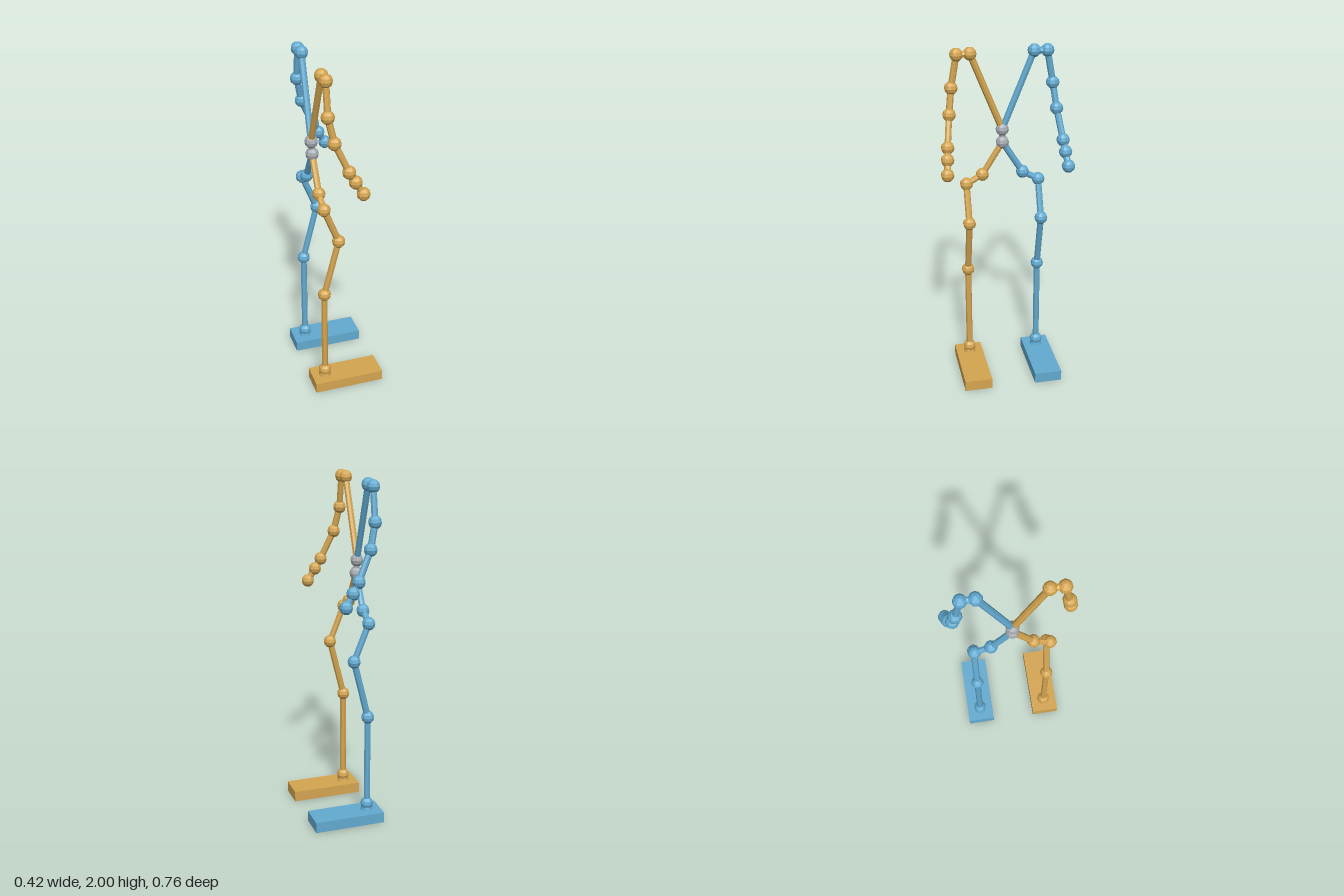
import * as THREE from 'three';

const BALL = 0.038;
const ROD = 0.019;
const UP = new THREE.Vector3(0, 1, 0);

function material(name, color) {
  const m = new THREE.MeshStandardMaterial({ color });
  m.name = name;
  m.flatShading = true;
  return m;
}

function ball(name, point, mat) {
  const mesh = new THREE.Mesh(new THREE.SphereGeometry(BALL, 10, 6), mat);
  mesh.position.copy(point);
  mesh.name = name;
  return mesh;
}

// Octagonal rod between two joint centres
function rod(name, a, b, mat) {
  const dir = b.clone().sub(a);
  const mesh = new THREE.Mesh(new THREE.CylinderGeometry(ROD, ROD, dir.length(), 8), mat);
  mesh.position.copy(a).add(b).multiplyScalar(0.5);
  mesh.quaternion.setFromUnitVectors(UP, dir.normalize());
  mesh.name = name;
  return mesh;
}

// Chain of rods and ball joints hanging from a root joint
function limb(name, root, points, mat) {
  const group = new THREE.Group();
  group.name = name;
  let previous = root;
  for (const p of points) {
    group.add(rod(name + 'Link', previous, p, mat), ball(name + 'Joint', p, mat));
    previous = p;
  }
  return group;
}

export function createModel() {
  const model = new THREE.Group();
  model.name = 'jointedSkeleton';
  const grey = material('waist grey', 0xa6aab0);
  const gold = material('right side gold', 0xd4a550);
  const blue = material('left side blue', 0x62aad0);

  // Waist
  const chest = new THREE.Vector3(-0.135, 1.515, 0);
  const pelvis = new THREE.Vector3(-0.13, 1.44, 0);
  model.add(ball('chestJoint', chest, grey), ball('pelvisJoint', pelvis, grey));
  model.add(rod('waistLink', pelvis, chest, grey));

  // Shoulder to hand, and hip to sole
  const arm = [
    [-0.13, 1.962, 0.18], [-0.13, 1.96, 0.255], [-0.13, 1.775, 0.288],
    [-0.1, 1.632, 0.306], [-0.026, 1.467, 0.329], [0.008, 1.407, 0.336], [0.05, 1.335, 0.344],
  ];
  const leg = [
    [-0.13, 1.25, 0.118], [-0.13, 1.197, 0.212], [-0.045, 0.983, 0.212],
    [-0.13, 0.642, 0.212], [-0.13, 0.1, 0.212], [-0.13, 0.061, 0.212],
  ];

  for (const [side, s, mat] of [['right', 1, gold], ['left', -1, blue]]) {
    const place = ([x, y, z]) => new THREE.Vector3(x, y, z * s);
    model.add(limb(side + 'Arm', chest, arm.map(place), mat));
    model.add(limb(side + 'Leg', pelvis, leg.map(place), mat));
    // Flat foot block
    const foot = new THREE.Mesh(new THREE.BoxGeometry(0.417, 0.063, 0.162), mat);
    foot.position.set(0, 0.0315, 0.213 * s);
    foot.name = side + 'Foot';
    model.add(foot);
  }
  return model;
}
